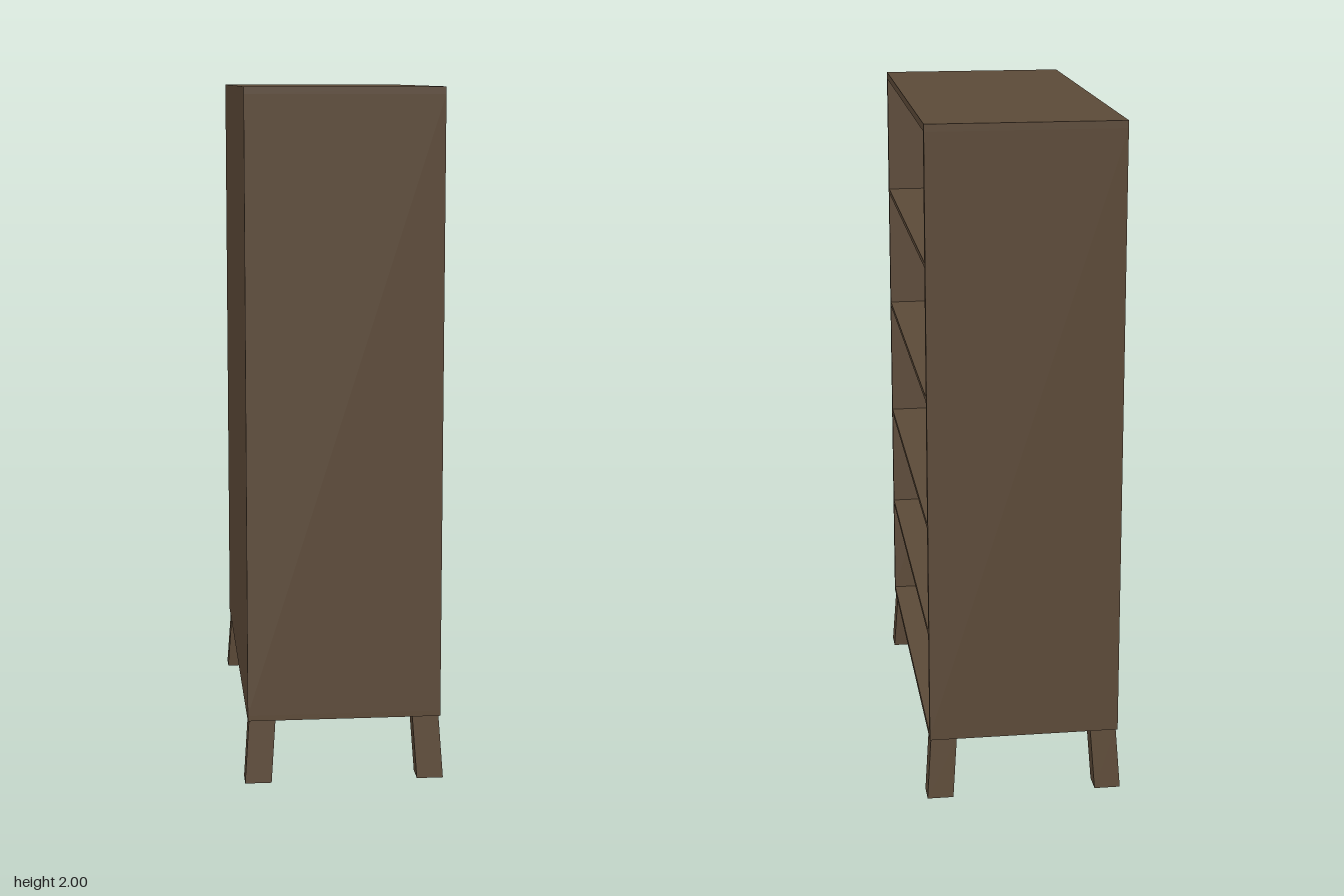
import * as THREE from 'three';

export function createModel() {
  const group = new THREE.Group();
  group.name = 'bookcase';
  const wood = new THREE.MeshStandardMaterial({ color: 0x5c4a38 });
  wood.name = 'dark brown wood';

  // Adds a box given by its lower and upper corners.
  function board(name, [x0, y0, z0], [x1, y1, z1]) {
    const geo = new THREE.BoxGeometry(x1 - x0, y1 - y0, z1 - z0);
    const mesh = new THREE.Mesh(geo, wood);
    mesh.position.set((x0 + x1) / 2, (y0 + y1) / 2, (z0 + z1) / 2);
    mesh.name = name;
    group.add(mesh);
  }

  const X = 0.281, Z = 0.614, bottom = 0.187, top = 2;
  const side = 0.021, back = 0.016, inner = Z - side;
  const floorTop = 0.203, ceiling = 1.979;

  // Carcass, open towards +x
  board('topPanel', [-X, ceiling, -Z], [X, top, Z]);
  board('bottomPanel', [-X, bottom, -Z], [X, floorTop, Z]);
  board('leftEndPanel', [-X, floorTop, inner], [X, ceiling, Z]);
  board('rightEndPanel', [-X, floorTop, -Z], [X, ceiling, -inner]);
  board('backPanel', [-X, floorTop, -inner], [-X + back, ceiling, inner]);

  // Shelves, flush with the opening
  [0.512, 0.841, 1.218, 1.603].forEach((y, i) =>
    board(`shelf${i + 1}`, [-X + back, y, -inner], [X, y + 0.014, inner]));

  // Splayed legs: upright blocks sheared outwards towards the floor
  const w = 0.077, d = 0.067;
  for (const sx of [-1, 1]) {
    for (const sz of [-1, 1]) {
      const geo = new THREE.BoxGeometry(w, bottom, d).translate(0, bottom / 2, 0);
      const p = geo.attributes.position;
      for (let i = 0; i < p.count; i++) {
        const t = p.getY(i) / bottom;
        p.setX(i, p.getX(i) + sx * (0.29 - w / 2 - 0.013 * t));
        p.setZ(i, p.getZ(i) + sz * (0.6175 - d / 2 - 0.0155 * t));
      }
      geo.computeVertexNormals();
      const leg = new THREE.Mesh(geo, wood);
      leg.name = `${sz > 0 ? 'front' : 'back'}${sx > 0 ? 'Left' : 'Right'}Leg`;
      group.add(leg);
    }
  }
  return group;
}
